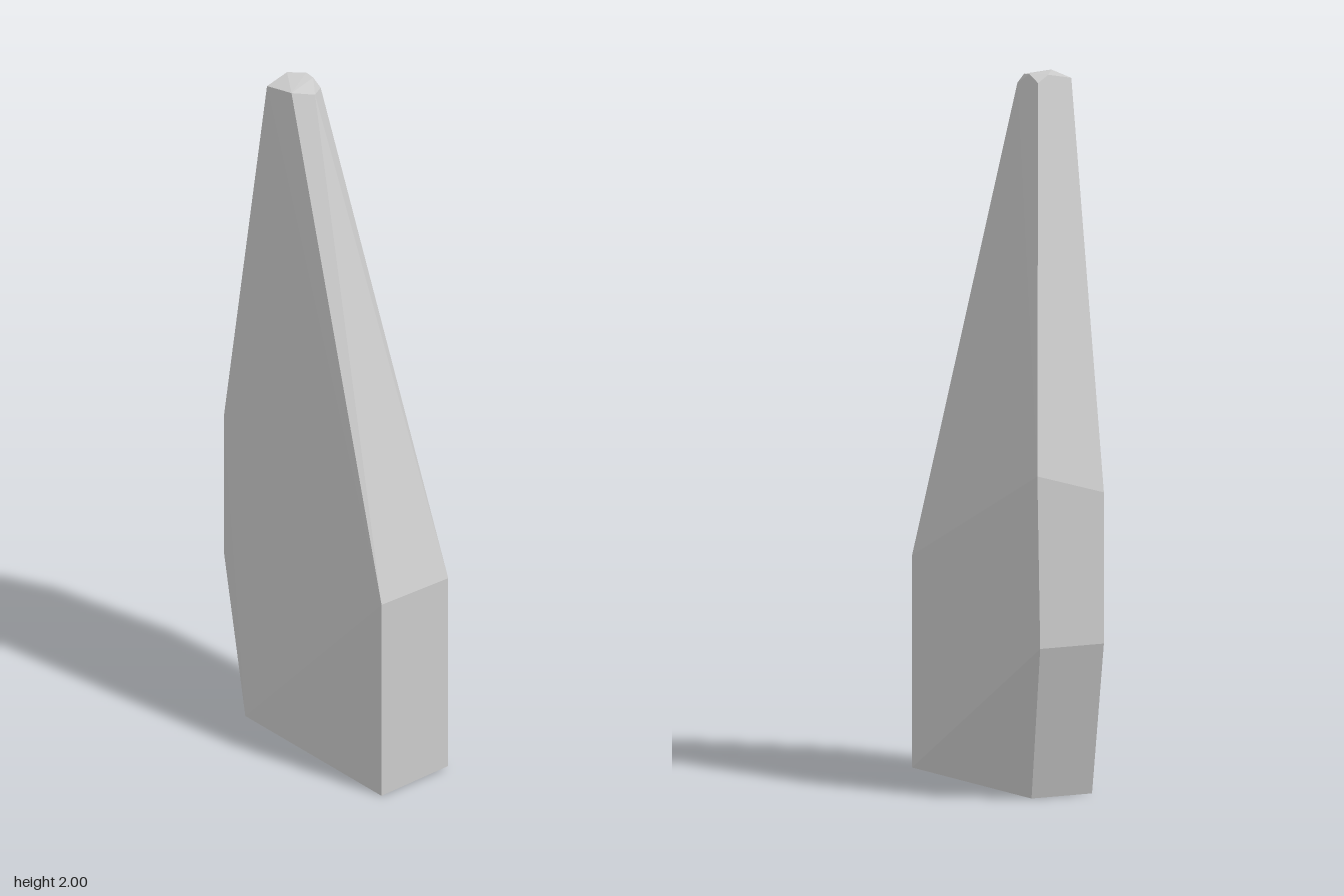
import * as THREE from 'three';
import { ConvexGeometry } from 'three/addons/geometries/ConvexGeometry.js';

export function createModel() {
  // Corners of a faceted stone shard, grouped by where they lie
  const front = [
    [-0.22, 0, 0.125], [0.365, 0, 0.122], [0.365, 0.6, 0.122],
    [-0.368, 0.86, 0.08], [-0.368, 0.44, 0.08],
  ];
  const back = [
    [-0.22, 0, -0.065], [0.365, 0.01, -0.115], [0.365, 0.6, -0.115],
    [-0.368, 0.92, -0.129], [-0.368, 0.44, -0.12],
  ];
  // Chipped tip: outer rim first, then the crown
  const tip = [
    [-0.175, 1.985, 0.085], [-0.085, 1.997, 0.072], [-0.055, 1.984, 0.013],
    [-0.095, 1.97, -0.04], [-0.185, 1.98, -0.025],
    [-0.18, 2, 0.01], [-0.145, 2, -0.03], [-0.115, 1.997, -0.03],
  ];

  const corners = [...front, ...back, ...tip].map((p) => new THREE.Vector3(...p));
  const material = new THREE.MeshStandardMaterial({ color: 0xcccccc, flatShading: true });
  const shard = new THREE.Mesh(new ConvexGeometry(corners), material);
  shard.name = 'stoneShard';

  const group = new THREE.Group();
  group.name = 'standingStone';
  group.add(shard);
  return group;
}
